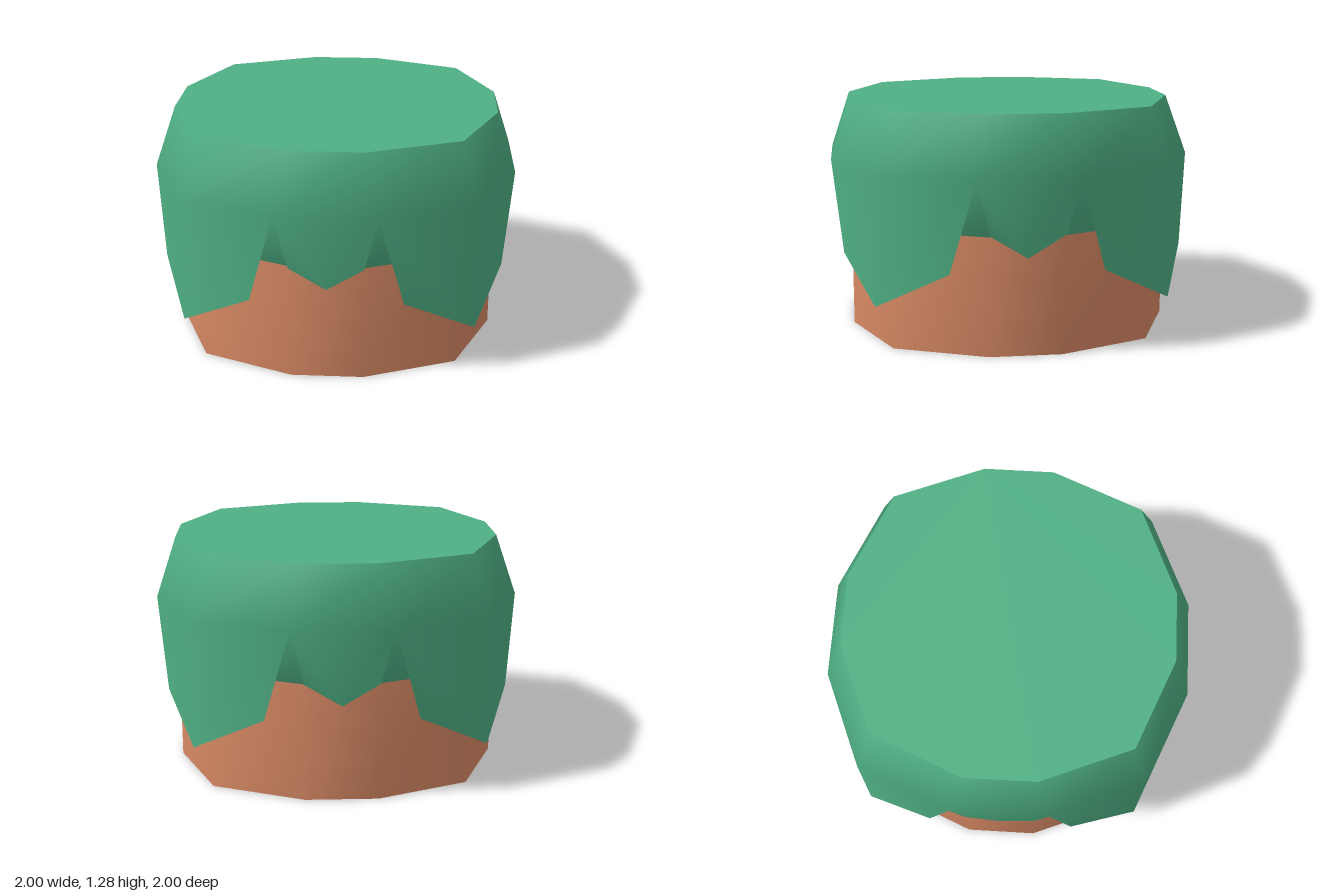
import * as THREE from 'three';

const brown = new THREE.MeshStandardMaterial({ color: 0xd98a65 });
brown.name = 'terracotta brown';
const green = new THREE.MeshStandardMaterial({ color: 0x4fb084, side: THREE.DoubleSide });
green.name = 'leaf green';

// Quarter turn about y, applied q times to [x, y, z]
function turn([x, y, z], q) {
  for (let i = 0; i < q; i++) [x, z] = [-z, x];
  return [x, y, z];
}

// Twelve-sided ring: two side corners and one diagonal corner per quarter
function ring(side, half, diagonal, y) {
  const points = [];
  for (let q = 0; q < 4; q++) {
    for (const p of [[side, y, -half], [side, y, half], [diagonal, y, diagonal]]) points.push(turn(p, q));
  }
  return points;
}
const innerRing = (y) => ring(0.895, 0.195, 0.69, y);
const outerRing = (y) => ring(1, 0.268, 0.783, y);

function makeMesh(name, points, index, material) {
  const geometry = new THREE.BufferGeometry();
  geometry.setAttribute('position', new THREE.Float32BufferAttribute(points.flat(), 3));
  geometry.setIndex(index);
  geometry.computeVertexNormals();
  const mesh = new THREE.Mesh(geometry, material);
  mesh.name = name;
  return mesh;
}

// Outward faces between a lower and an upper ring
function band(index, low, high) {
  for (let i = 0; i < 12; i++) {
    const j = (i + 1) % 12;
    index.push(low + i, high + i, low + j, low + j, high + i, high + j);
  }
}

function cap(name, points, up, material) {
  const index = [];
  for (let i = 1; i < 11; i++) index.push(0, up ? i + 1 : i, up ? i : i + 1);
  return makeMesh(name, points, index, material);
}

export function createModel() {
  const model = new THREE.Group();
  model.name = 'trunkWithLeafCover';

  // Trunk
  const wall = [];
  band(wall, 0, 12);
  model.add(makeMesh('trunkWall', [...innerRing(0), ...innerRing(0.645)], wall, brown));
  model.add(cap('trunkBase', innerRing(0), false, brown));

  // Leaf cover: sloping underside, flared shoulder and hanging flaps
  const points = [...innerRing(0.645), ...outerRing(0.96), ...innerRing(1.28)];
  const index = [];
  band(index, 0, 12);
  band(index, 12, 24);
  const rim = (i) => 12 + (i % 12);
  for (let q = 0; q < 4; q++) {
    // Small flap on the flat side, leaning slightly inward
    let p = points.length, t = p + 1, r = p + 2;
    for (const v of [[0.963, 0.665, -0.197], [0.949, 0.54, 0], [0.963, 0.665, 0.197]]) points.push(turn(v, q));
    const a = rim(3 * q), b = rim(3 * q + 1), c = rim(3 * q + 2), d = rim(3 * q + 3);
    index.push(p, a, t, t, a, b, t, b, r);

    // Large flap folded around the diagonal corner
    p = points.length; t = p + 1; r = p + 2;
    for (const v of [[0.94, 0.465, 0.405], [0.783, 0.262, 0.783], [0.405, 0.465, 0.94]]) points.push(turn(v, q));
    index.push(p, b, t, t, b, c, t, c, d, t, d, r);
  }
  model.add(makeMesh('leafCover', points, index, green));
  model.add(cap('leafTop', innerRing(1.28), true, green));

  return model;
}
